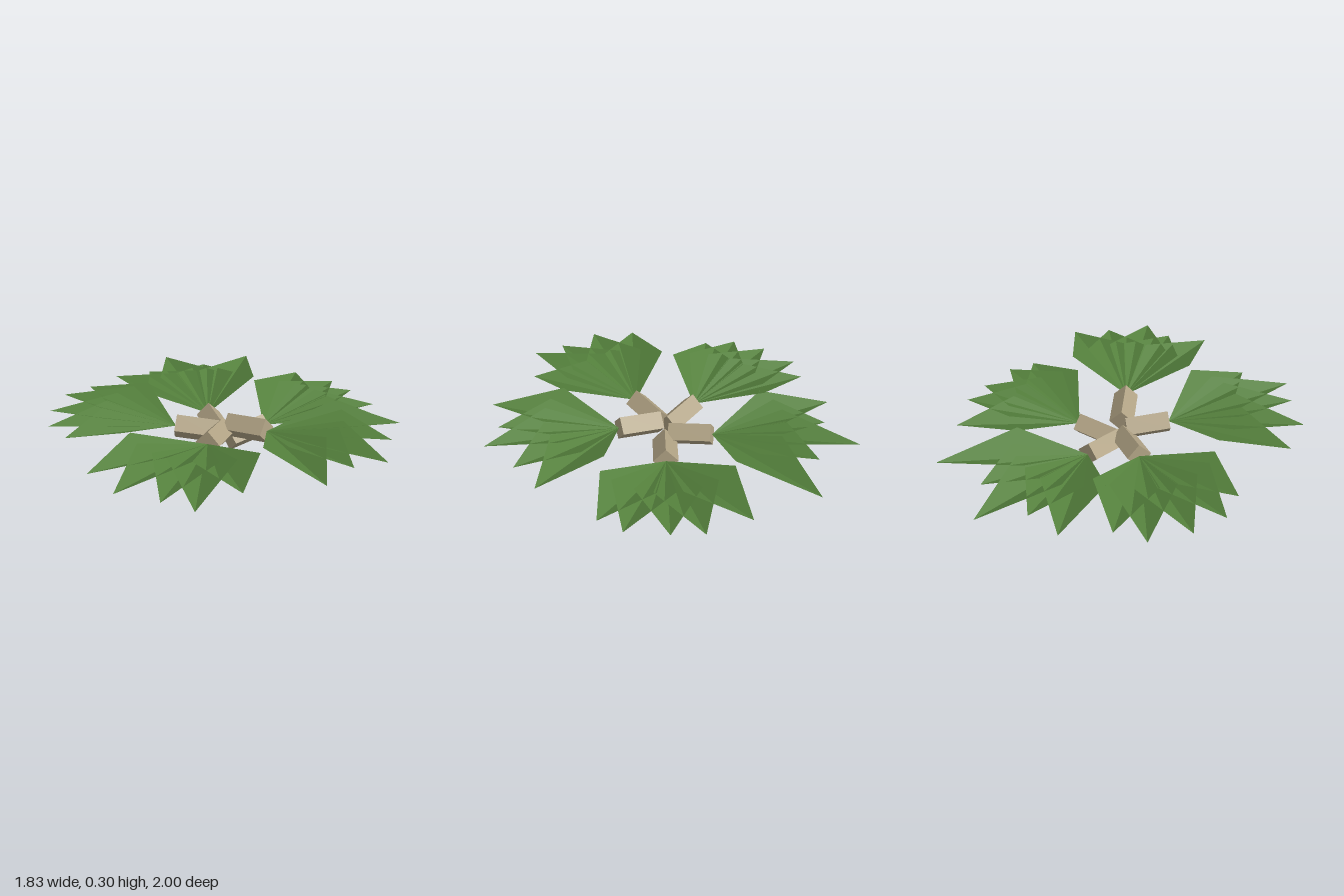
import * as THREE from 'three';

const leafGreen = new THREE.MeshStandardMaterial({ name: 'leafGreen', color: 0x54803c, side: THREE.DoubleSide });
const stemTan = new THREE.MeshStandardMaterial({ name: 'stemTan', color: 0xb0a284 });

const HUB_Z = 0.065;      // centre of the rosette
const INNER = 0.03, OUTER = 0.267;
const STEM_R = 0.068, STEM_DROP = 0.025;

// Fronds in a rising spiral: stem angle from the back, height of the stem's end, leaflet tips [x, z]
const fronds = [
  { angle: 76, y: 0.095, tips: [[0.70, -0.53], [0.85, -0.325], [0.89, 0.16 - 0.32], [0.915, 0.065], [0.86, 0.21]] },
  { angle: 0, y: 0.12, tips: [[-0.38, -0.80], [-0.17, -0.80], [0, -1], [0.18, -0.80], [0.49, -0.84]] },
  { angle: -64, y: 0.148, tips: [[-0.58, -0.63], [-0.745, -0.57], [-0.865, -0.375], [-0.915, -0.18], [-0.86, -0.01]] },
  { angle: -140, y: 0.175, tips: [[-0.85, 0.46], [-0.78, 0.69], [-0.60, 0.84], [-0.48, 0.97], [-0.22, 0.89]] },
  { angle: 144, y: 0.20, tips: [[0.81, 0.53], [0.67, 0.69], [0.53, 0.90], [0.35, 0.89], [0.15, 1]] },
];

// Four-sided stem standing on its edge, sloping slightly up and outward
function makeStem(from, to) {
  const geo = new THREE.CylinderGeometry(STEM_R, STEM_R, from.distanceTo(to), 4).toNonIndexed();
  geo.rotateX(Math.PI / 2);
  geo.computeVertexNormals();
  const stem = new THREE.Mesh(geo, stemTan);
  stem.name = 'stem';
  stem.position.copy(from).add(to).multiplyScalar(0.5);
  stem.lookAt(to);
  return stem;
}

// Kite-shaped leaflets, each folded into a shallow V along its midrib
function makeLeaf(base, tips) {
  const points = [];
  for (const [x, z] of tips) {
    const tip = new THREE.Vector3(x, base.y + 0.05, z);
    const dir = new THREE.Vector3(x - base.x, 0, z - base.z).normalize();
    const across = new THREE.Vector3(dir.z, 0, -dir.x);
    const shoulder = (side) => base.clone().addScaledVector(dir, 0.36)
      .addScaledVector(across, side * 0.17).setY(base.y + 0.103);
    points.push(base, tip, shoulder(1), base, shoulder(-1), tip);
  }
  const geo = new THREE.BufferGeometry().setFromPoints(points);
  geo.computeVertexNormals();
  const leaf = new THREE.Mesh(geo, leafGreen);
  leaf.name = 'leaf';
  return leaf;
}

export function createModel() {
  const model = new THREE.Group();
  model.name = 'leafRosette';
  for (const { angle, y, tips } of fronds) {
    const a = THREE.MathUtils.degToRad(angle);
    const at = (r, h) => new THREE.Vector3(Math.sin(a) * r, h, HUB_Z - Math.cos(a) * r);
    const end = at(OUTER, y);
    const frond = new THREE.Group();
    frond.name = 'frond';
    frond.add(makeStem(at(INNER, y - STEM_DROP), end), makeLeaf(end, tips));
    model.add(frond);
  }
  return model;
}
